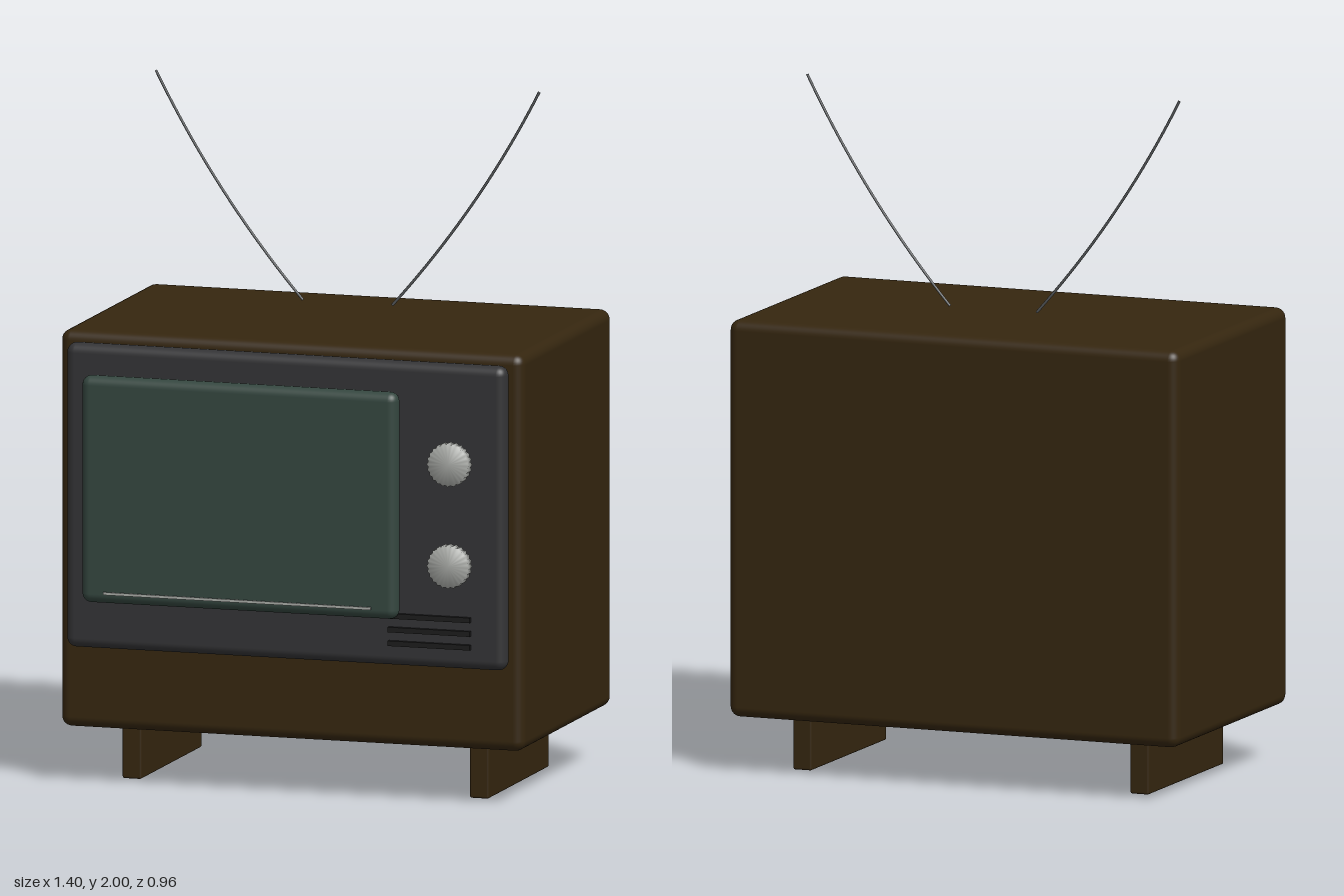
import * as THREE from 'three';
import { RoundedBoxGeometry } from 'three/addons/geometries/RoundedBoxGeometry.js';
import { mergeVertices } from 'three/addons/utils/BufferGeometryUtils.js';

const material = (name, color) => {
  const m = new THREE.MeshStandardMaterial({ color });
  m.name = name;
  return m;
};

// Rounded box given by its extents along each axis
function slab(name, mat, [x0, x1], [y0, y1], [z0, z1], radius) {
  const geometry = new RoundedBoxGeometry(x1 - x0, y1 - y0, z1 - z0, 4, radius);
  const mesh = new THREE.Mesh(geometry, mat);
  mesh.name = name;
  mesh.position.set((x0 + x1) / 2, (y0 + y1) / 2, (z0 + z1) / 2);
  return mesh;
}

// Serrated disc with softly blended normals
function knobGeometry(radius, depth, teeth) {
  let g = new THREE.CylinderGeometry(radius, radius, depth, teeth * 2, 1);
  g.rotateX(Math.PI / 2);
  const p = g.attributes.position;
  for (let i = 0; i < p.count; i++) {
    const x = p.getX(i), y = p.getY(i);
    if (Math.hypot(x, y) < 1e-6) continue;
    const step = Math.round((Math.atan2(y, x) / Math.PI) * teeth);
    const s = step % 2 === 0 ? 1 : 0.93;
    p.setXY(i, x * s, y * s);
  }
  g.deleteAttribute('normal');
  g.deleteAttribute('uv');
  g = mergeVertices(g, 1e-5);
  g.computeVertexNormals();
  return g;
}

export function createModel() {
  const wood = material('dark wood', 0x35260f);
  const plastic = material('charcoal plastic', 0x333335);
  const glass = material('green glass', 0x34463f);
  const metal = material('brushed metal', 0xa8aaa6);
  const rod = material('aerial metal', 0x55585a);
  const black = material('grille black', 0x1c1c1c);

  const tv = new THREE.Group();
  tv.name = 'television';

  // Cabinet, front panel and screen
  tv.add(
    slab('cabinet', wood, [-0.7, 0.7], [0.165, 1.323], [-0.478, 0.355], 0.03),
    slab('frontPanel', plastic, [-0.665, 0.665], [0.408, 1.296], [0.355, 0.413], 0.028),
    slab('screen', glass, [-0.602, 0.353], [0.55, 1.212], [0.41, 0.465], 0.027)
  );

  // Thin trim line in front of the screen
  const trim = new THREE.Mesh(new THREE.BoxGeometry(0.81, 0.008, 0.004), metal);
  trim.name = 'screenTrim';
  trim.position.set(-0.124, 0.583, 0.476);
  tv.add(trim);

  // Tuning knobs
  const knobShape = knobGeometry(0.064, 0.031, 24);
  for (const y of [1.013, 0.716]) {
    const knob = new THREE.Mesh(knobShape, metal);
    knob.name = 'knob';
    knob.position.set(0.511, y, 0.454);
    tv.add(knob);
  }

  // Speaker grille bars
  for (let i = 0; i < 3; i++) {
    const bar = new THREE.Mesh(new THREE.BoxGeometry(0.248, 0.015, 0.014), black);
    bar.name = 'grilleBar';
    bar.position.set(0.439, 0.475 + i * 0.04, 0.418);
    tv.add(bar);
  }

  // Runner legs and curved aerials, mirrored left and right
  for (const s of [1, -1]) {
    const x = s * 0.525;
    tv.add(slab(s > 0 ? 'leftLeg' : 'rightLeg', wood,
      [x - 0.029, x + 0.029], [0, 0.18], [-0.34, 0.222], 0.006));

    const path = new THREE.QuadraticBezierCurve3(
      new THREE.Vector3(s * 0.135, 1.353, -0.17),
      new THREE.Vector3(s * 0.4, 1.65, -0.17),
      new THREE.Vector3(s * 0.58, 2, -0.17)
    );
    const aerial = new THREE.Mesh(new THREE.TubeGeometry(path, 20, 0.004, 8), rod);
    aerial.name = s > 0 ? 'leftAerial' : 'rightAerial';
    tv.add(aerial);
  }

  return tv;
}
